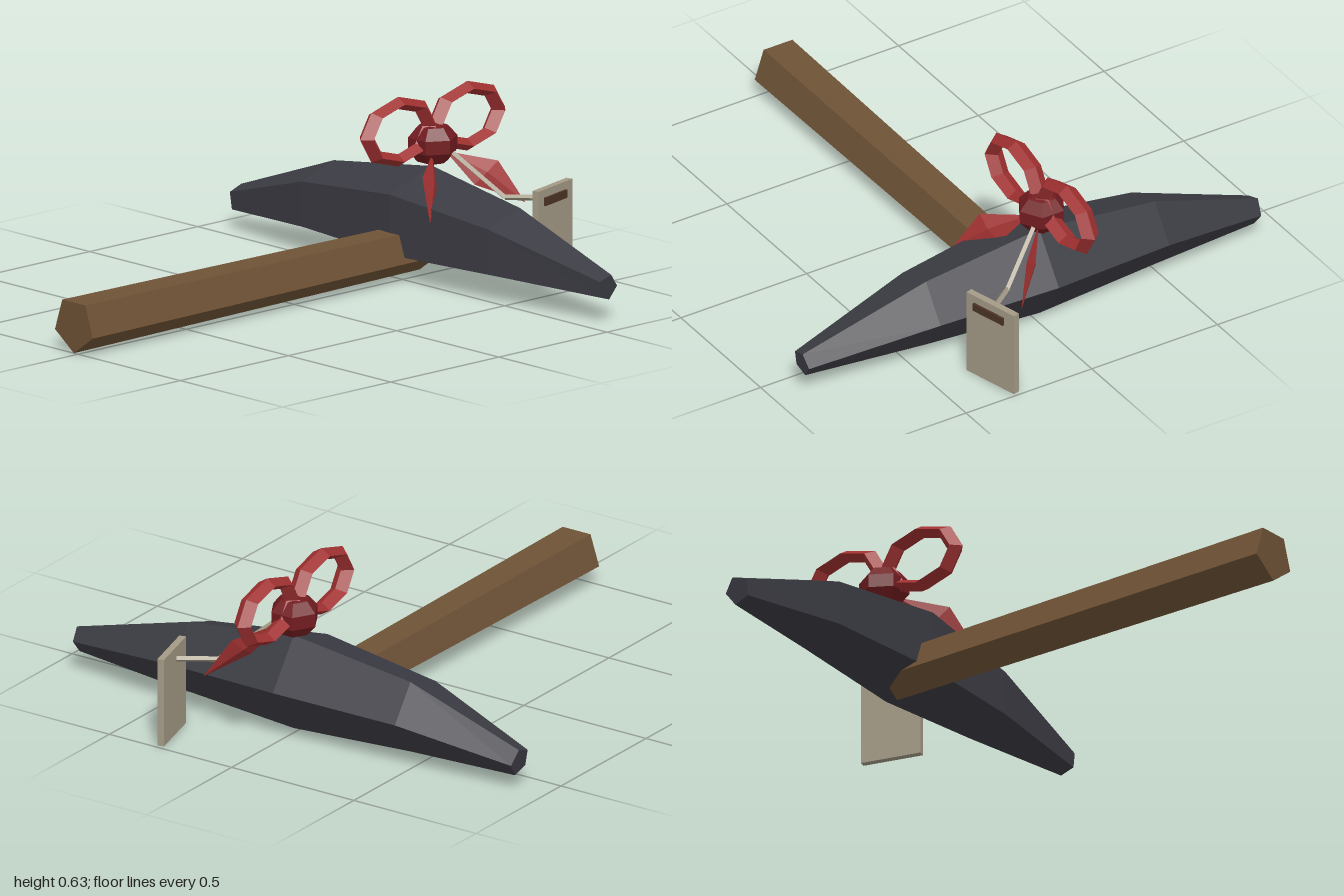
import * as THREE from 'three';
import { ConvexGeometry } from 'three/addons/geometries/ConvexGeometry.js';

const mat = (color) => new THREE.MeshStandardMaterial({ color, flatShading: true });
const wood = mat(0x6e5236), iron = mat(0x3b3b43), ribbon = mat(0xa03030);
const darkRibbon = mat(0x721c20), card = mat(0xa39a85), ink = mat(0x4c3324);

// Skin a row of equal rings, with flat end caps
function loft(rings) {
  const pos = [], n = rings[0].length;
  const tri = (...pts) => pts.forEach((p) => pos.push(...p));
  for (let k = 0; k < rings.length - 1; k++) {
    const a = rings[k], b = rings[k + 1];
    for (let i = 0; i < n; i++) {
      const j = (i + 1) % n;
      tri(a[i], a[j], b[j]);
      tri(a[i], b[j], b[i]);
    }
  }
  const first = rings[0], last = rings[rings.length - 1];
  for (let i = 1; i < n - 1; i++) {
    tri(first[0], first[i + 1], first[i]);
    tri(last[0], last[i], last[i + 1]);
  }
  const g = new THREE.BufferGeometry();
  g.setAttribute('position', new THREE.Float32BufferAttribute(pos, 3));
  g.computeVertexNormals();
  return g;
}

const pentagon = (place) => Array.from({ length: 5 }, (_, i) => {
  const a = (i * Math.PI * 2) / 5;
  return place(Math.cos(a), Math.sin(a));
});

export function createModel() {
  const model = new THREE.Group();
  const add = (name, geometry, material, parent = model) => {
    const mesh = new THREE.Mesh(geometry, material);
    mesh.name = name;
    parent.add(mesh);
    return mesh;
  };

  // Tapered five-sided handle: x, centre height, radius
  add('handle', loft([[-1, 0.102, 0.097], [0.6, 0.103, 0.084]].map(([x, y, r]) =>
    pentagon((c, s) => [x, y - r * c, -0.02 - r * s]))), wood);

  // Curved pick head: z, centre height, radius, slant of the section
  const sections = [
    [-0.898, 0.104, 0.05, -0.17], [-0.48, 0.18, 0.133, 0], [-0.012, 0.2, 0.178, 0],
    [0.43, 0.18, 0.133, 0], [0.898, 0.123, 0.046, 0.12],
  ];
  add('head', loft(sections.map(([z, y, r, slant]) =>
    pentagon((c, s) => [0.597 + r * c, y + r * s, z + slant * r * s]))), iron);

  // Bow: two loops, two tails and a knot, mirrored about its own centre
  const bow = new THREE.Group();
  bow.name = 'bow';
  bow.position.set(0.657, 0, -0.018);
  model.add(bow);
  const start = new THREE.Vector3(0.03, 0.42, 0.03);
  const tip = new THREE.Vector3(0.22, 0.245, 0.22);
  const middle = new THREE.Vector3(0.13, 0.345, 0.125);
  const wide = new THREE.Vector3(0.045, 0.036, 0.01);
  const thick = tip.clone().sub(start).cross(wide).setLength(0.016);
  const tail = [start, tip, middle.clone().add(wide), middle.clone().sub(wide),
    middle.clone().add(thick), middle.clone().sub(thick)];
  for (const [side, label] of [[1, 'left'], [-1, 'right']]) {
    const loop = add(label + 'Loop', new THREE.TorusGeometry(0.144, 0.031, 4, 8), ribbon, bow);
    loop.scale.set(1, 0.69, 1.1);
    loop.position.set(side * 0.16, 0.514, 0);
    add(label + 'Tail', new ConvexGeometry(
      tail.map((p) => new THREE.Vector3(p.x * side, p.y, p.z))), ribbon, bow);
  }
  const knot = add('knot', new THREE.SphereGeometry(0.09, 6, 5), darkRibbon, bow);
  knot.position.y = 0.447;
  knot.scale.y = 0.84;
  knot.rotation.y = Math.PI / 6;

  // String from the knot to the tag
  const path = [[0.685, 0.435, 0.02], [0.785, 0.277, 0.2], [0.872, 0.281, 0.315]]
    .map((p) => new THREE.Vector3(...p));
  for (let i = 0; i < 2; i++) {
    const line = new THREE.LineCurve3(path[i], path[i + 1]);
    add('string', new THREE.TubeGeometry(line, 1, 0.01, 4), card);
  }

  // Hanging tag with a dark strip
  const tag = new THREE.Group();
  tag.name = 'tag';
  tag.position.set(0.888, 0.167, 0.323);
  tag.rotation.y = 0.26;
  model.add(tag);
  add('tagCard', new THREE.BoxGeometry(0.217, 0.315, 0.024), card, tag);
  add('tagStrip', new THREE.BoxGeometry(0.138, 0.028, 0.016), ink, tag)
    .position.set(-0.005, 0.116, 0.012);

  return model;
}
